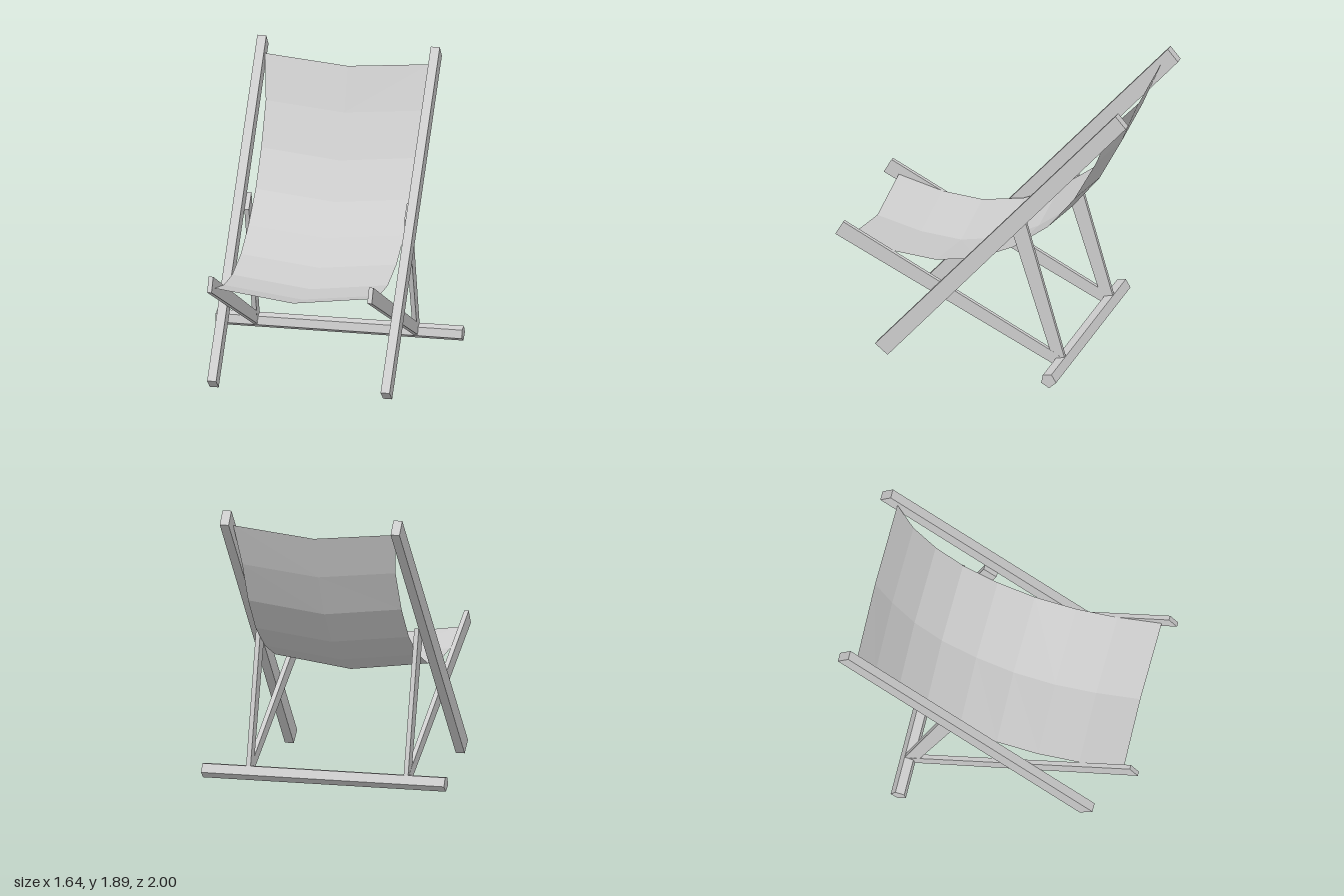
import * as THREE from 'three';

// Extrude a side outline of [z, y] points from x0 to x1
function slab(name, outline, x0, x1, material) {
  const shape = new THREE.Shape(outline.map(([z, y]) => new THREE.Vector2(-z, y)));
  const geo = new THREE.ExtrudeGeometry(shape, { depth: x1 - x0, bevelEnabled: false });
  geo.rotateY(Math.PI / 2);
  geo.translate(x0, 0, 0);
  const mesh = new THREE.Mesh(geo, material);
  mesh.name = name;
  return mesh;
}

// Sagging cloth: three points across each row, two facets wide
function clothGeometry(rows, cx) {
  const pos = [], index = [];
  rows.forEach(([z, y, half, sag], r) => {
    pos.push(cx - half, y, z, cx, y - sag, z - 0.015, cx + half, y, z);
    if (r === 0) return;
    for (let c = 0; c < 2; c++) {
      const a = (r - 1) * 3 + c, b = a + 1, d = a + 3, e = a + 4;
      index.push(a, b, e, a, e, d);
    }
  });
  const geo = new THREE.BufferGeometry();
  geo.setAttribute('position', new THREE.Float32BufferAttribute(pos, 3));
  geo.setIndex(index);
  const flat = geo.toNonIndexed();
  flat.computeVertexNormals();
  return flat;
}

export function createModel() {
  const group = new THREE.Group();
  group.name = 'deckChair';
  const grey = new THREE.MeshStandardMaterial({ color: 0xcccccc, side: THREE.DoubleSide });
  grey.name = 'light grey';
  const cx = -0.022; // frame sits slightly off the crossbar's middle

  // Side frames, mirrored about cx: outline, inner and outer distance
  const bars = [
    ['backPole', [[0.71, 0.072], [0.625, 0.002], [-1, 1.812], [-0.93, 1.894]], 0.547, 0.607],
    ['seatArm', [[1, 0.79], [0.946, 0.882], [-0.51, 0.13], [-0.56, 0.09], [-0.5, 0.05]], 0.518, 0.548],
    ['rearStrut', [[-0.212, 0.941], [-0.298, 1.032], [-0.565, 0.105], [-0.545, 0.05], [-0.49, 0.07]], 0.517, 0.547],
  ];
  for (const [name, outline, inner, outer] of bars) {
    group.add(slab(name + 'Left', outline, cx + inner, cx + outer, grey));
    group.add(slab(name + 'Right', outline, cx - outer, cx - inner, grey));
  }

  // Five-sided crossbar on the ground
  group.add(slab('crossbar',
    [[-0.496, 0.045], [-0.507, 0.1], [-0.566, 0.11], [-0.598, 0.056], [-0.55, 0.013]],
    -0.82, 0.82, grey));

  // Cloth rows, front to top: z, edge y, half width, sag
  const cloth = new THREE.Mesh(clothGeometry([
    [0.897, 0.785, 0.518, 0.073],
    [0.6, 0.705, 0.518, 0.07],
    [0.325, 0.68, 0.518, 0.07],
    [0.045, 0.725, 0.518, 0.065],
    [-0.205, 0.838, 0.518, 0.06],
    [-0.437, 1.007, 0.518, 0.06],
    [-0.62, 1.23, 0.518, 0.06],
    [-0.77, 1.505, 0.518, 0.055],
    [-0.885, 1.787, 0.547, 0.055],
  ], cx), grey);
  cloth.name = 'clothSeat';
  group.add(cloth);

  return group;
}
